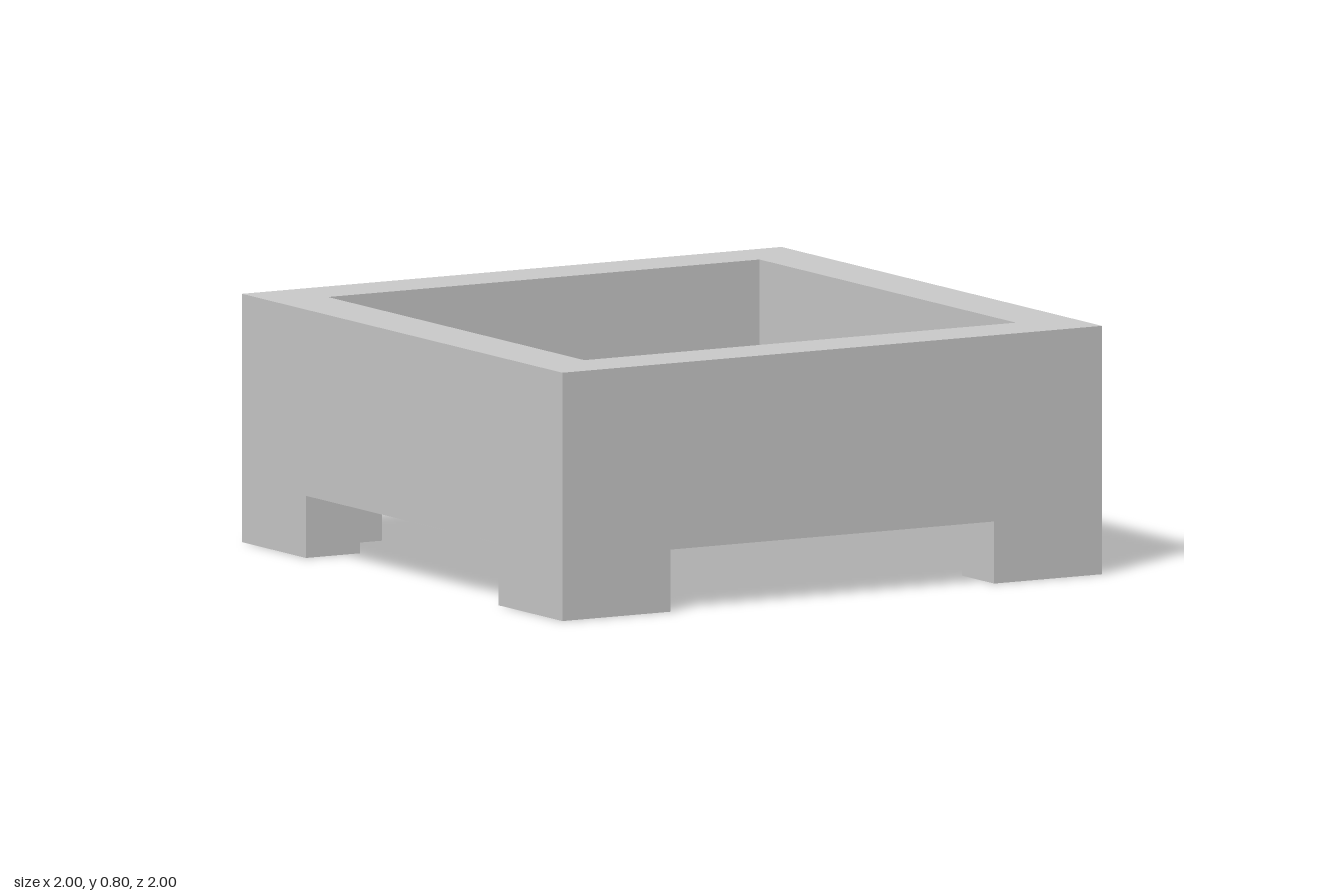
import * as THREE from 'three';

const material = new THREE.MeshStandardMaterial({ color: 0xcccccc, flatShading: true });

const WALL = 0.2;       // wall and floor thickness
const LEG_HEIGHT = 0.2;
const LEG_WIDTH = 0.4;  // length of each arm of a corner leg
const HEIGHT = 0.8;

// Extrude a plan outline upwards from y = bottom
function extrudeUp(shape, bottom, height) {
  const geometry = new THREE.ExtrudeGeometry(shape, { depth: height, bevelEnabled: false });
  return geometry.rotateX(-Math.PI / 2).translate(0, bottom, 0);
}

function outline(points) {
  return points.map(([x, y]) => new THREE.Vector2(x, y));
}

function square(half) {
  return outline([[-half, -half], [half, -half], [half, half], [-half, half]]);
}

function addPart(group, name, geometry) {
  const mesh = new THREE.Mesh(geometry, material);
  mesh.name = name;
  group.add(mesh);
  return mesh;
}

export function createModel() {
  const model = new THREE.Group();
  model.name = 'squareTray';
  const inner = 1 - WALL;

  // Square ring of walls
  const ring = new THREE.Shape(square(1));
  ring.holes.push(new THREE.Path(square(inner)));
  addPart(model, 'walls', extrudeUp(ring, LEG_HEIGHT, HEIGHT - LEG_HEIGHT));

  // Recessed floor, flush with the underside of the walls
  const floor = new THREE.BoxGeometry(2 * inner, WALL, 2 * inner);
  addPart(model, 'floor', floor.translate(0, LEG_HEIGHT + WALL / 2, 0));

  // L-shaped legs, one turned into each corner
  const end = 1 - LEG_WIDTH;
  const legShape = new THREE.Shape(outline([
    [1, 1], [end, 1], [end, inner], [inner, inner], [inner, end], [1, end],
  ]));
  const legGeometry = extrudeUp(legShape, 0, LEG_HEIGHT);
  ['backLeftLeg', 'backRightLeg', 'frontRightLeg', 'frontLeftLeg'].forEach((name, i) => {
    addPart(model, name, legGeometry).rotation.y = i * Math.PI / 2;
  });

  return model;
}
